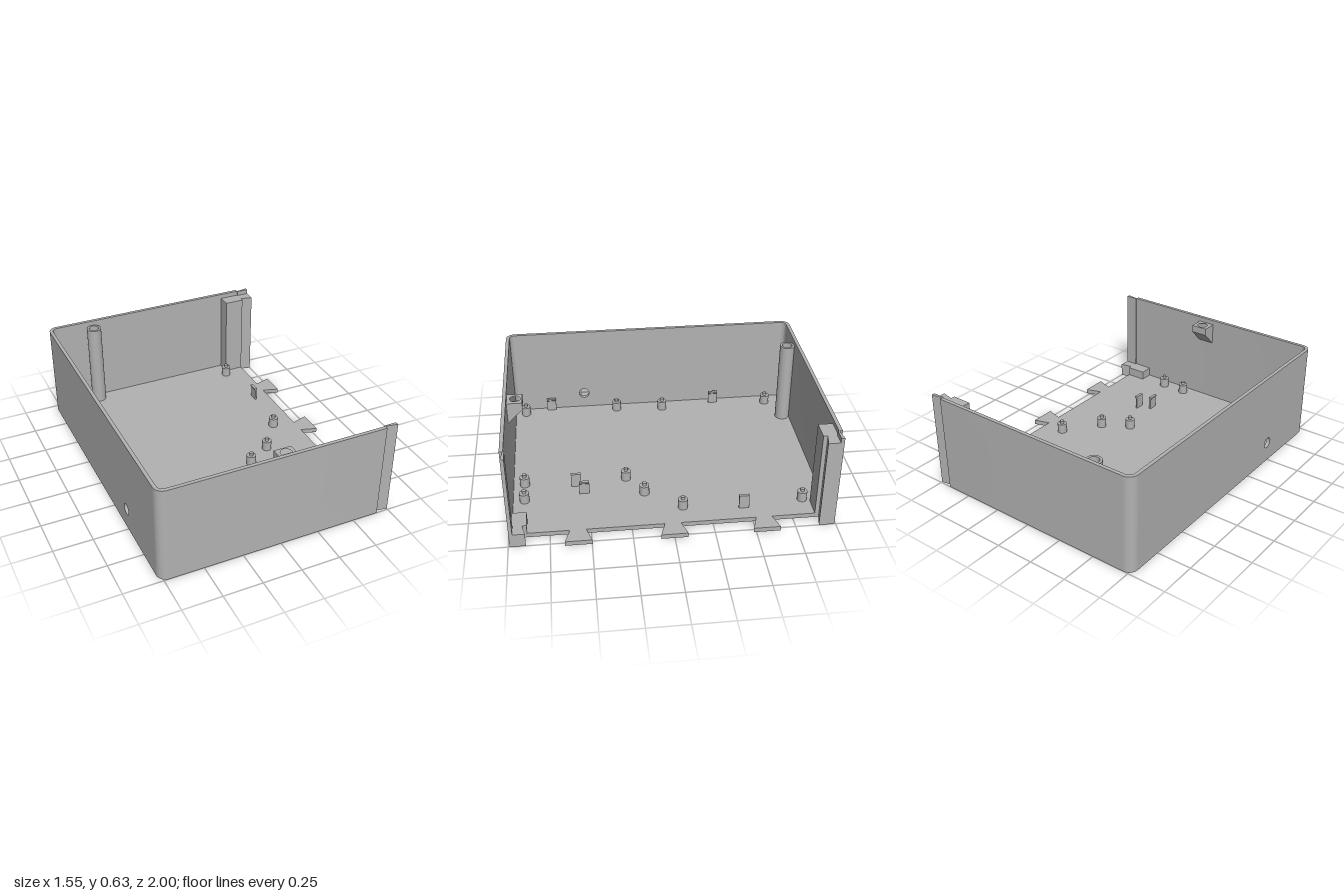
import * as THREE from 'three';
import { toCreasedNormals } from 'three/addons/utils/BufferGeometryUtils.js';

const grey = new THREE.MeshStandardMaterial({ color: 0xb2b2b2 });
grey.name = 'plasticGrey';

const X0 = -0.775, X1 = 0.67, H = 0.635, FLOOR = 0.03, WALL = 0.023, R = 0.06;

export function createModel() {
  const model = new THREE.Group();
  model.name = 'enclosureHalf';

  const add = (name, geometry, x = 0, y = 0, z = 0) => {
    const mesh = new THREE.Mesh(geometry, grey);
    mesh.name = name;
    mesh.position.set(x, y, z);
    model.add(mesh);
    return mesh;
  };
  const extrude = (shape, depth) =>
    toCreasedNormals(new THREE.ExtrudeGeometry(shape, { depth, bevelEnabled: false, curveSegments: 20 }), 0.6);
  const circle = (x, y, r) => new THREE.Path().absarc(x, y, r, 0, Math.PI * 2, true);
  // Plan shape drawn in (x, -z), raised from y0 to y1
  const slab = (name, shape, y0, y1) =>
    add(name, extrude(shape, y1 - y0).rotateX(-Math.PI / 2), 0, y0, 0);
  const plan = (points) => new THREE.Shape(points.map(([x, z]) => new THREE.Vector2(x, -z)));
  const box = (name, x0, x1, y0, y1, z0, z1) =>
    add(name, new THREE.BoxGeometry(x1 - x0, y1 - y0, z1 - z0), (x0 + x1) / 2, (y0 + y1) / 2, (z0 + z1) / 2);

  // Floor with two rounded corners
  const floor = new THREE.Shape();
  floor.moveTo(X1, -1);
  floor.lineTo(X1, 1);
  floor.lineTo(X0 + R, 1);
  floor.absarc(X0 + R, 1 - R, R, Math.PI / 2, Math.PI, false);
  floor.lineTo(X0, -1 + R);
  floor.absarc(X0 + R, -1 + R, R, Math.PI, Math.PI * 1.5, false);
  slab('floor', floor, 0, FLOOR);

  // Front and back walls, each with its rounded corner
  for (const s of [1, -1]) {
    const wall = new THREE.Shape();
    wall.moveTo(X1, s);
    wall.lineTo(X0 + R, s);
    wall.absarc(X0 + R, s * (1 - R), R, s * Math.PI / 2, Math.PI * s, s < 0);
    wall.lineTo(X0 + WALL, s * (1 - R));
    wall.absarc(X0 + R, s * (1 - R), R - WALL, Math.PI * s, s * Math.PI / 2, s > 0);
    wall.lineTo(X1, s * (1 - WALL));
    slab(s > 0 ? 'backWall' : 'frontWall', wall, FLOOR, H);
  }

  // Side wall with a round cable hole
  const w = 1 - R;
  const side = new THREE.Shape([[-w, FLOOR], [w, FLOOR], [w, H], [-w, H]].map((p) => new THREE.Vector2(...p)));
  side.holes.push(circle(-0.48, 0.14, 0.036));
  add('sideWall', extrude(side, WALL).rotateY(Math.PI / 2), X0, 0, 0);

  // Dovetail tabs along the open edge of the floor
  for (const z of [-0.567, 0, 0.58]) {
    slab('floorDovetail', plan([[X1, z - 0.05], [0.775, z - 0.083], [0.775, z + 0.083], [X1, z + 0.05]]), 0, FLOOR);
  }

  // Corner blocks and upright dovetails: tall at the back, low at the front
  for (const [s, top] of [[-1, 0.603], [1, 0.09]]) {
    const z0 = s * 0.887, z1 = s * (1 - WALL);
    box('cornerBlock', 0.54, X1, FLOOR, top, Math.min(z0, z1), Math.max(z0, z1));
    slab('cornerDovetail', plan([[X1, s * 0.913], [0.75, s * 0.895], [0.75, s * 0.992], [X1, s * 0.977]]), 0, top);
    slab('wallDovetail', plan([[X1, s * 0.97], [0.75, s * 0.97], [0.75, s * 0.992], [X1, s * 0.979]]), top, H);
  }

  // Board standoffs with locating pins
  const standoffs = [[-0.66, -0.84], [0.52, -0.84], [-0.66, -0.08], [0.52, -0.08], [0.35, 0.145],
    [0.18, 0.25], [-0.685, 0.25], [-0.685, 0.905], [0.18, 0.905], [0.35, 0.905]];
  for (const [x, z] of standoffs) {
    add('standoff', new THREE.CylinderGeometry(0.031, 0.031, 0.065, 24), x, FLOOR + 0.0325, z);
    add('standoffPin', new THREE.CylinderGeometry(0.013, 0.013, 0.02, 16), x, 0.105, z);
  }

  // Board clips: a thin stem with a lip facing the board (d = lip direction)
  const clips = [[-0.7, -0.46, 1], [0.56, -0.46, -1], [0.31, 0.525, 1], [0.22, 0.575, -1], [-0.725, 0.72, 1]];
  for (const [x, z, d] of clips) {
    const clip = new THREE.Shape([[-0.01, FLOOR], [0.002, FLOOR], [0.002, 0.105], [0.01, 0.113], [0.01, 0.123], [-0.01, 0.123]]
      .map(([a, b]) => new THREE.Vector2(a * d, b)));
    add('boardClip', extrude(clip, 0.064), x, 0, z - 0.032);
  }

  // Tall hollow screw post against the back wall
  const post = new THREE.Shape().absarc(-0.465, 0.93, 0.049, 0, Math.PI * 2, false);
  post.holes.push(circle(-0.465, 0.93, 0.034));
  slab('screwPost', post, FLOOR, 0.603);

  // Screw bracket on the front wall with a sloped underside
  const bracket = plan([[-0.012, 0.88], [0.1, 0.88], [0.1, 0.977], [-0.012, 0.977]]);
  bracket.holes.push(circle(0.044, -0.925, 0.034));
  slab('screwBracket', bracket, 0.555, 0.603);
  const gusset = new THREE.Shape([[-0.88, 0.555], [-0.977, 0.555], [-0.977, 0.46]].map((p) => new THREE.Vector2(...p)));
  add('bracketGusset', extrude(gusset, 0.112).rotateY(Math.PI / 2), -0.012, 0, 0);

  return model;
}
